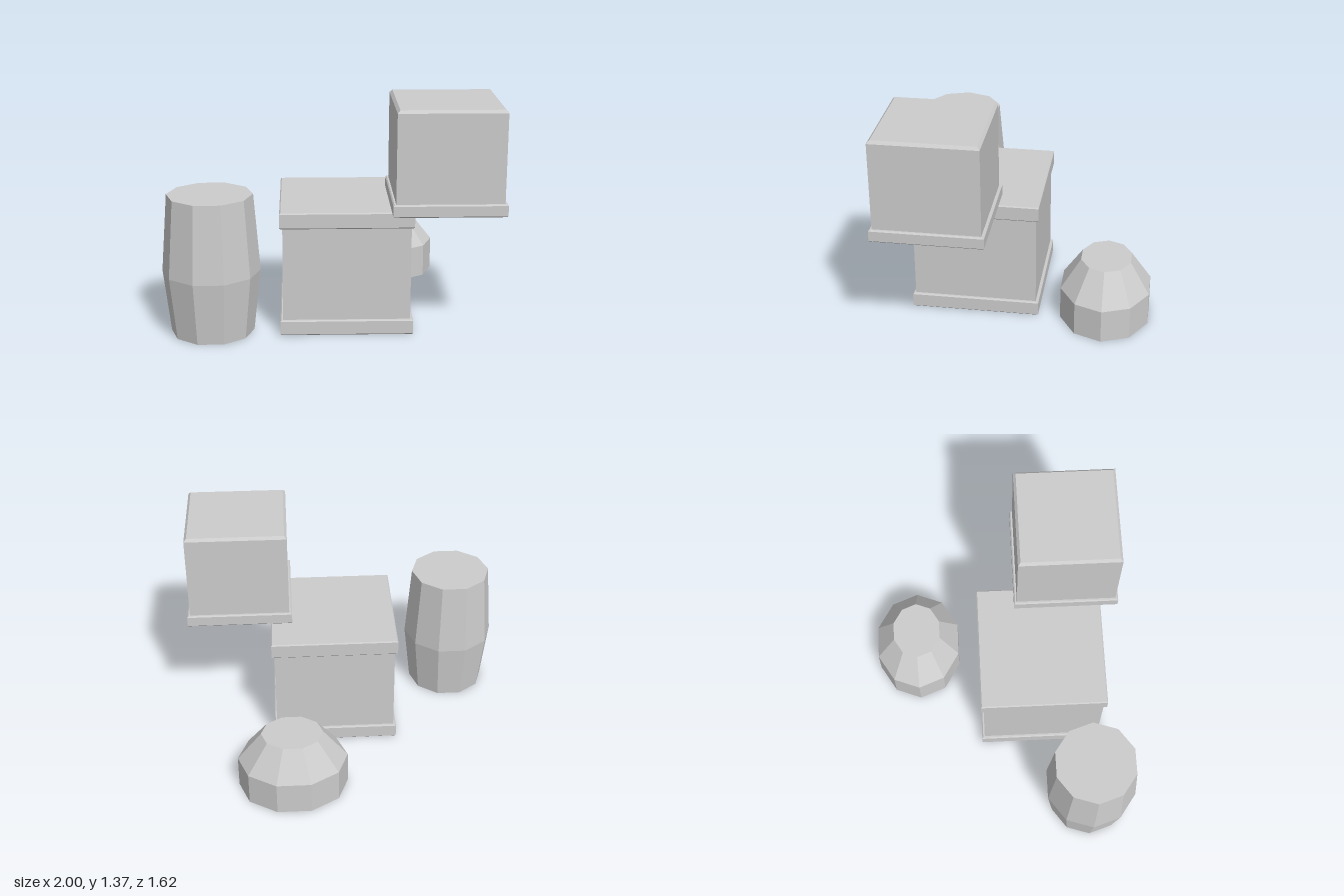
import * as THREE from 'three';

const material = new THREE.MeshStandardMaterial({ color: 0xcccccc, flatShading: true });

// Faceted solid from a closed [radius, y] profile, listed from bottom to top
function facetedSolid(name, profile, sides, turn) {
  const points = profile.map(([r, y]) => new THREE.Vector2(r, y));
  const geometry = new THREE.LatheGeometry(points, sides).rotateY(turn).toNonIndexed();
  geometry.computeVertexNormals();
  const mesh = new THREE.Mesh(geometry, material);
  mesh.name = name;
  return mesh;
}

// Square solid: the profile gives half widths instead of radii
function squareSolid(name, profile) {
  const corners = profile.map(([half, y]) => [half * Math.SQRT2, y]);
  return facetedSolid(name, corners, 4, Math.PI / 4);
}

// Square band with narrow bevels on its outer edges
function band(name, half, bottom, top, bevel = 0.007) {
  return squareSolid(name, [
    [0, bottom], [half - bevel, bottom], [half, bottom + bevel],
    [half, top - bevel], [half - bevel, top], [0, top],
  ]);
}

export function createModel() {
  const group = new THREE.Group();
  group.name = 'crates, barrel and sack';

  // Large crate with a band at the bottom and the top
  const largeCrate = new THREE.Group();
  largeCrate.name = 'largeCrate';
  largeCrate.add(
    squareSolid('largeCrateBody', [[0, 0.03], [0.376, 0.03], [0.376, 0.72], [0, 0.72]]),
    band('bottomBand', 0.393, 0, 0.093),
    band('topBand', 0.393, 0.658, 0.755),
  );
  largeCrate.position.set(0.087, 0, 0.253);

  // Small crate with a bottom band and a bevelled top
  const smallCrate = new THREE.Group();
  smallCrate.name = 'smallCrate';
  smallCrate.add(
    squareSolid('smallCrateBody', [
      [0, 0.03], [0.311, 0.03], [0.311, 0.602], [0.295, 0.619], [0, 0.619],
    ]),
    band('smallCrateBand', 0.328, 0, 0.075),
  );
  smallCrate.position.set(0.672, 0.755, 0.425);

  // Ten-sided bulging barrel
  const barrel = facetedSolid('barrel', [
    [0, 0], [0.247, 0], [0.29, 0.38], [0.253, 0.845], [0, 0.845],
  ], 10, Math.PI / 2);
  barrel.position.set(-0.71, 0, 0.535);

  // Oval sack with a tapered top
  const sack = facetedSolid('sack', [
    [0, 0], [0.337, 0], [0.337, 0.208], [0.189, 0.395], [0, 0.395],
  ], 10, Math.PI / 2);
  sack.scale.z = 0.838;
  sack.position.set(0.369, 0, -0.545);

  group.add(largeCrate, smallCrate, barrel, sack);
  return group;
}
